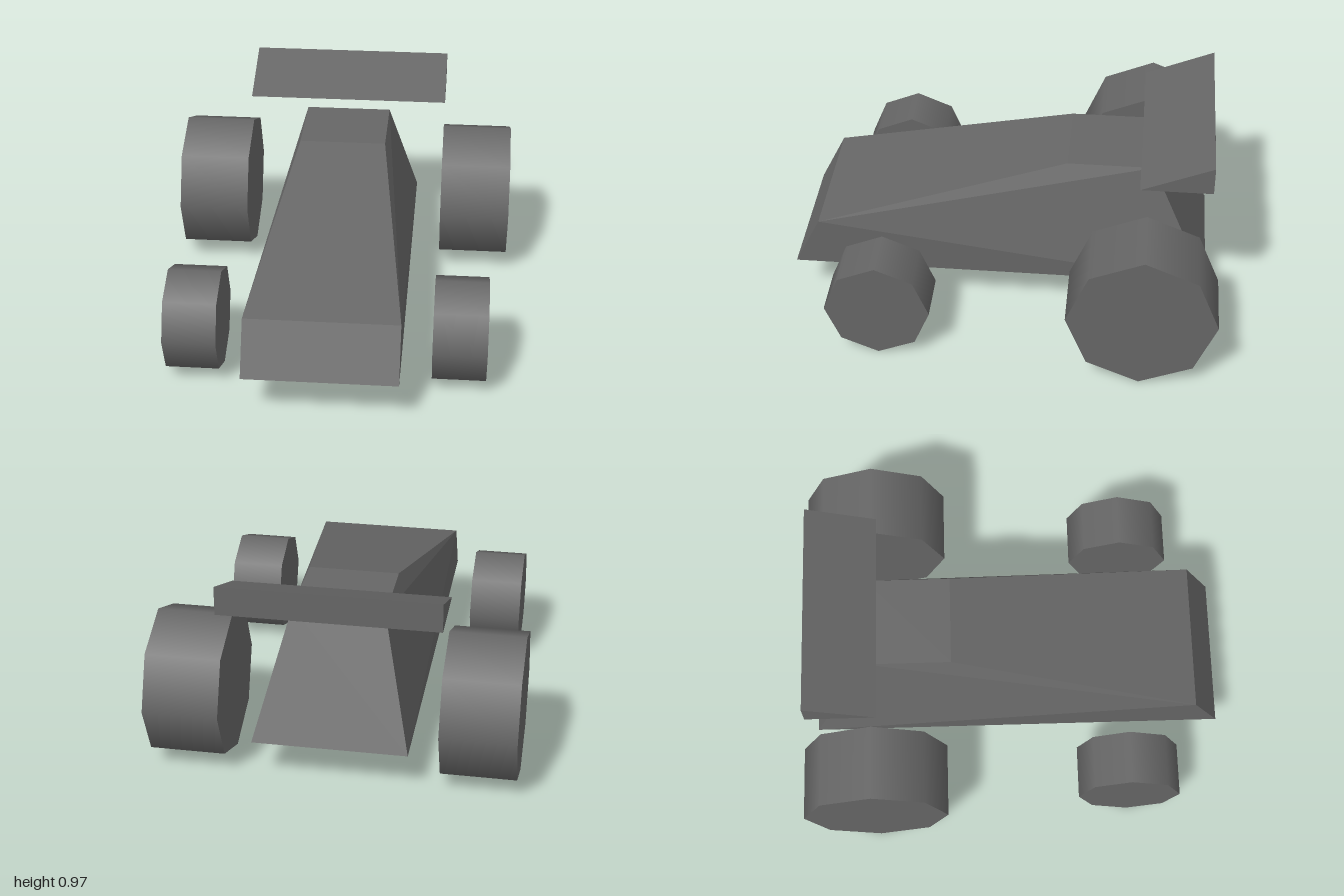
import * as THREE from 'three';
import { ConvexGeometry } from 'three/addons/geometries/ConvexGeometry.js';

const grey = new THREE.MeshStandardMaterial({ color: 0x666666 });
grey.name = 'grey';

// Faceted solid from half-width, y, z triples, mirrored across x = 0
function mirroredHull(name, corners) {
  const points = corners.flatMap(([x, y, z]) => [
    new THREE.Vector3(x, y, z),
    new THREE.Vector3(-x, y, z),
  ]);
  const mesh = new THREE.Mesh(new ConvexGeometry(points), grey);
  mesh.name = name;
  return mesh;
}

// Eight-sided wheel lying along x
function wheel(name, radius, inner, outer, z, side) {
  const geometry = new THREE.CylinderGeometry(radius, radius, outer - inner, 8);
  geometry.rotateZ(Math.PI / 2);
  const mesh = new THREE.Mesh(geometry, grey);
  mesh.name = name;
  mesh.position.set(side * (inner + outer) / 2, radius, z);
  return mesh;
}

export function createModel() {
  const car = new THREE.Group();
  car.name = 'racingCar';

  // Wedge body: nose, sloping bonnet, narrow roof, slanted tail
  car.add(mirroredHull('body', [
    [0.35, 0.207, 1.0],
    [0.35, 0.445, 0.88],
    [0.208, 0.757, -0.28],
    [0.208, 0.757, -0.68],
    [0.35, 0.207, -0.95],
  ]));

  // Floating wedge-shaped rear wing
  car.add(mirroredHull('rearWing', [
    [0.49, 0.833, -0.62],
    [0.49, 0.833, -0.945],
    [0.49, 0.966, -0.945],
  ]));

  // Small front wheels and large rear wheels
  for (const [label, side] of [['Left', 1], ['Right', -1]]) {
    car.add(wheel(`front${label}Wheel`, 0.243, 0.487, 0.733, 0.553, side));
    car.add(wheel(`rear${label}Wheel`, 0.342, 0.487, 0.828, -0.658, side));
  }
  return car;
}
